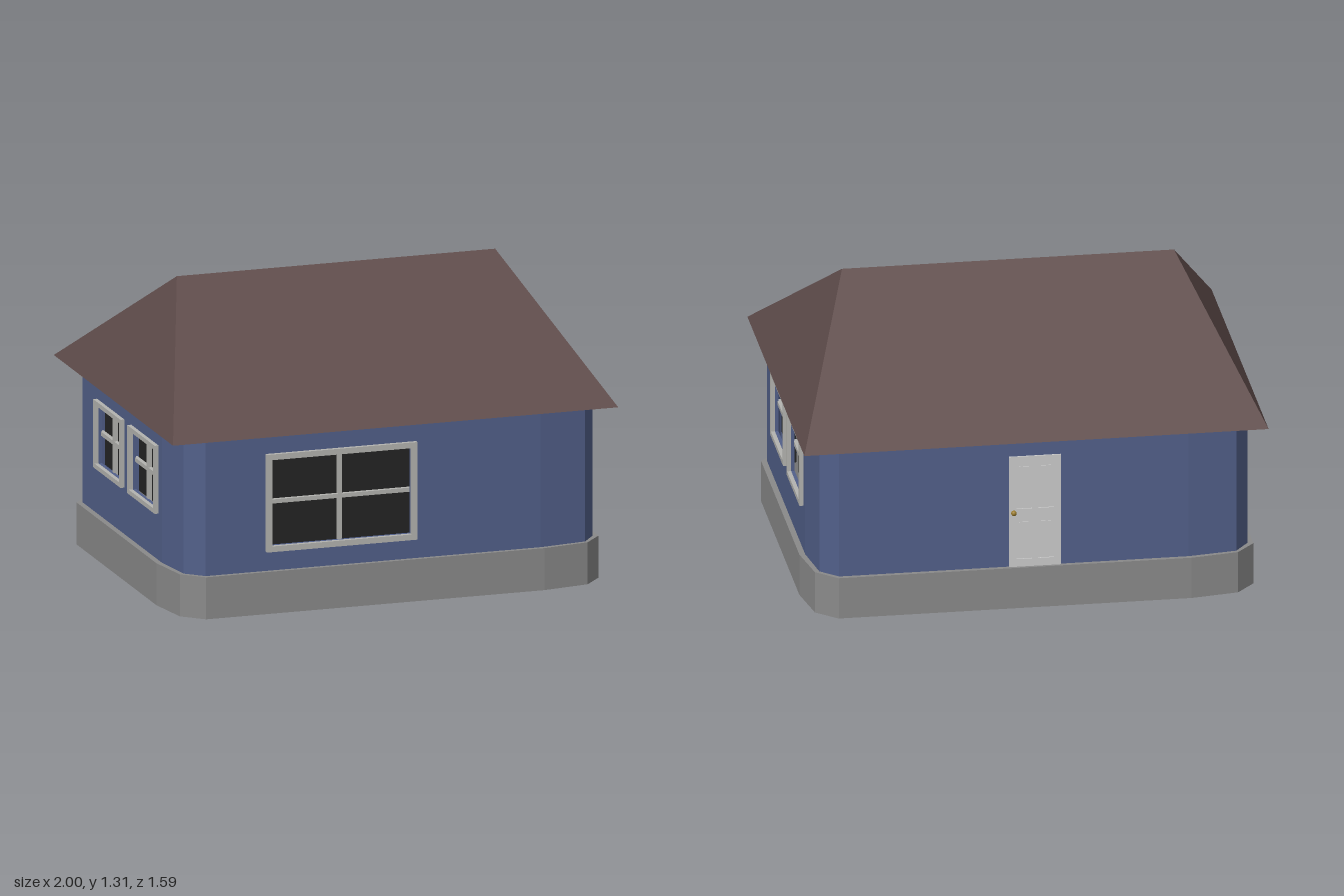
import * as THREE from 'three';
import { ConvexGeometry } from 'three/addons/geometries/ConvexGeometry.js';

const BASE_TOP = 0.185, EAVE = 0.787, RIDGE = 1.31, WALL_T = 0.015;

const mat = (color) => new THREE.MeshStandardMaterial({ color });
const mats = {
  wall: mat(0x52608a), base: mat(0x8a8a8a), roof: mat(0x5e4b4a),
  frame: mat(0xb4b4b0), pane: mat(0x242424), door: mat(0xbcbcbc), brass: mat(0x9a7b2c),
};

function mesh(name, geometry, material, x = 0, y = 0, z = 0) {
  const m = new THREE.Mesh(geometry, material);
  m.name = name;
  m.position.set(x, y, z);
  return m;
}

function rect(x0, y0, x1, y1, Type = THREE.Shape) {
  return new Type([[x0, y0], [x1, y0], [x1, y1], [x0, y1]].map((p) => new THREE.Vector2(...p)));
}

// Rectangular plate with rectangular openings, running from z0 to z1
function plate(outer, holes, z0, z1) {
  const shape = rect(...outer);
  for (const h of holes) shape.holes.push(rect(...h, THREE.Path));
  return new THREE.ExtrudeGeometry(shape, { depth: z1 - z0, bevelEnabled: false }).translate(0, 0, z0);
}

// Footprint: half the outline plus its half-turn about z = 0.02
function footprint(half) {
  return [...half, ...half.map(([x, z]) => [-x, 0.04 - z])];
}
const wallOutline = footprint([[0.67, 0.74], [0.88, 0.71], [0.94, 0.63], [0.94, -0.43], [0.91, -0.63], [0.835, -0.70]]);
const baseOutline = footprint([[0.68, 0.76], [0.885, 0.727], [0.965, 0.637], [0.965, -0.43], [0.93, -0.637], [0.84, -0.72]]);

// Openings by wall edge, as [u0, y0, u1, y1] with u along the wall
const sideWindows = [[0.195, 0.39, 0.56, 0.69], [0.65, 0.39, 1.015, 0.69]];
const windowsByEdge = { 2: sideWindows, 8: sideWindows, 11: [[0.27, 0.27, 0.945, 0.70]] };
const DOOR_EDGE = 5;

const inset = ([x0, y0, x1, y1], d) => [x0 + d, y0 + d, x1 - d, y1 - d];

function createWindow(outer, border) {
  const g = new THREE.Group();
  g.name = 'window';
  const [x0, y0, x1, y1] = outer;
  const cx = (x0 + x1) / 2, cy = (y0 + y1) / 2, w = x1 - x0, h = y1 - y0;
  g.add(
    mesh('windowFrame', plate(outer, [inset(outer, border)], 0, 0.018), mats.frame),
    mesh('windowPane', new THREE.BoxGeometry(w - border, h - border, 0.01), mats.pane, cx, cy, -0.036),
    mesh('verticalBar', new THREE.BoxGeometry(0.018, h, 0.018), mats.frame, cx, cy, -0.02),
    mesh('horizontalBar', new THREE.BoxGeometry(w, 0.018, 0.018), mats.frame, cx, cy, -0.02),
  );
  return g;
}

function createDoor() {
  const g = new THREE.Group();
  g.name = 'door';
  const outer = [0.731, BASE_TOP, 0.955, 0.69];
  const panels = [];
  for (const [u0, u1] of [[0.762, 0.83], [0.856, 0.924]])
    for (const [y0, y1] of [[0.22, 0.40], [0.45, 0.655]]) panels.push([u0, y0, u1, y1]);
  g.add(mesh('doorSlab', plate(outer, [], -0.02, 0.001), mats.door));
  g.add(mesh('doorStiles', plate(outer, panels, 0.001, 0.007), mats.door));
  for (const p of panels) g.add(mesh('doorPanel', plate(inset(p, 0.012), [], 0.001, 0.005), mats.door));
  // Knob on a short stem
  const stem = new THREE.CylinderGeometry(0.006, 0.006, 0.016, 12).rotateX(Math.PI / 2);
  g.add(mesh('knobStem', stem, mats.brass, 0.75, 0.435, 0.01));
  g.add(mesh('doorKnob', new THREE.SphereGeometry(0.012, 16, 12), mats.brass, 0.75, 0.435, 0.016));
  return g;
}

// One wall panel per outline edge, with its windows or door
function createWalls() {
  const walls = new THREE.Group();
  walls.name = 'walls';
  wallOutline.forEach(([ax, az], i) => {
    const [bx, bz] = wallOutline[(i + 1) % wallOutline.length];
    const panel = new THREE.Group();
    panel.name = 'wallSection';
    panel.position.set(ax, 0, az);
    panel.rotation.y = Math.atan2(az - bz, bx - ax);
    const windows = windowsByEdge[i] || [];
    const border = i === 11 ? 0.025 : 0.02;
    const length = Math.hypot(bx - ax, bz - az);
    const openings = windows.map((w) => inset(w, border));
    panel.add(mesh('wall', plate([0, BASE_TOP, length, EAVE], openings, -WALL_T, 0), mats.wall));
    for (const w of windows) panel.add(createWindow(w, border));
    if (i === DOOR_EDGE) panel.add(createDoor());
    walls.add(panel);
  });
  return walls;
}

// Hollow ring under the walls
function createFoundation() {
  const points = (list, k) => list.map(([x, z]) => new THREE.Vector2(x * k, -(0.02 + (z - 0.02) * k)));
  const shape = new THREE.Shape(points(baseOutline, 1));
  shape.holes.push(new THREE.Path(points(wallOutline, 0.99)));
  const geo = new THREE.ExtrudeGeometry(shape, { depth: BASE_TOP, bevelEnabled: false }).rotateX(-Math.PI / 2);
  return mesh('foundation', geo, mats.base);
}

// Hipped roof with a flat underside
function createRoof() {
  const pts = [];
  for (const s of [-1, 1]) {
    pts.push(new THREE.Vector3(s * 0.715, RIDGE, 0));
    for (const t of [-1, 1]) pts.push(new THREE.Vector3(s, EAVE, t * 0.795));
  }
  return mesh('roof', new ConvexGeometry(pts), mats.roof);
}

export function createModel() {
  const house = new THREE.Group();
  house.name = 'house';
  house.add(createFoundation(), createWalls(), createRoof());
  return house;
}
